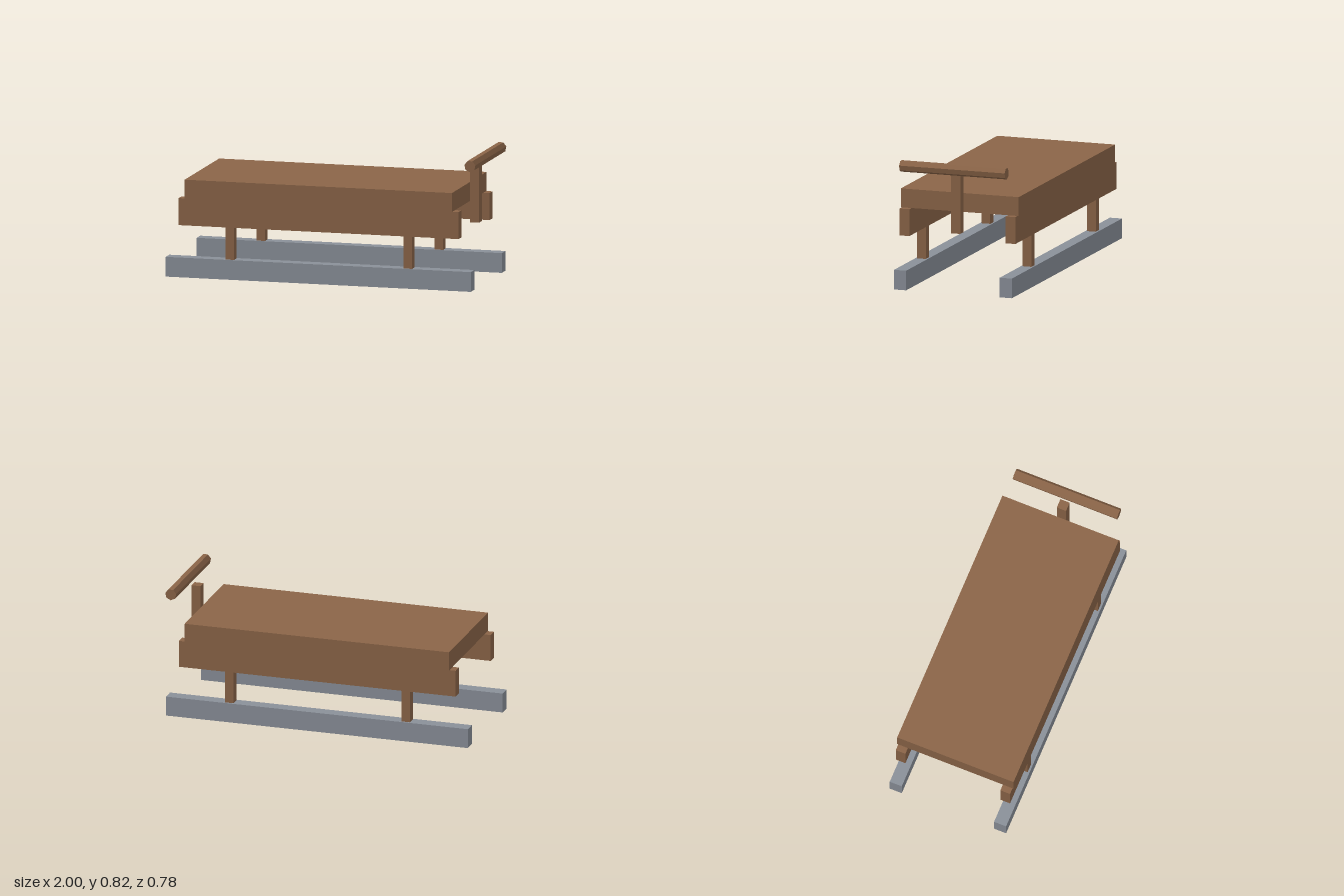
import * as THREE from 'three';

export function createModel() {
  const group = new THREE.Group();
  const wood = new THREE.MeshStandardMaterial({ color: 0x8b6548, flatShading: true });
  wood.name = 'wood';
  const steel = new THREE.MeshStandardMaterial({ color: 0x8a9099, flatShading: true });
  steel.name = 'steel';

  // Box given by its lower and upper limits on each axis
  function box(name, material, [x0, x1], [y0, y1], [z0, z1]) {
    const mesh = new THREE.Mesh(new THREE.BoxGeometry(x1 - x0, y1 - y0, z1 - z0), material);
    mesh.position.set((x0 + x1) / 2, (y0 + y1) / 2, (z0 + z1) / 2);
    mesh.name = name;
    group.add(mesh);
  }

  // Flat load deck
  box('deck', wood, [-0.877, 0.857], [0.5, 0.62], [-0.392, 0.392]);

  // Runner, side rail and two struts on each side
  for (const side of [-1, 1]) {
    const name = side > 0 ? 'front' : 'back';
    const across = (inner, outer) => (side > 0 ? [inner, outer] : [-outer, -inner]);
    box(name + 'Runner', steel, [-1, 0.98], [0, 0.125], across(0.311, 0.392));
    box(name + 'Rail', wood, [-0.918, 0.898], [0.329, 0.5], across(0.32, 0.385));
    for (const x of [-0.588, 0.568]) {
      box(name + 'Strut', wood, [x - 0.028, x + 0.028], [0.125, 0.329], across(0.322, 0.38));
    }
  }

  // Upright post and seven-sided push bar
  box('handlePost', wood, [0.87, 0.93], [0.374, 0.746], [-0.031, 0.031]);
  const bar = new THREE.Mesh(new THREE.CylinderGeometry(0.0368, 0.0368, 0.702, 7), wood);
  bar.rotation.x = Math.PI / 2;
  bar.position.set(0.962, 0.787, 0);
  bar.name = 'handleBar';
  group.add(bar);

  return group;
}
